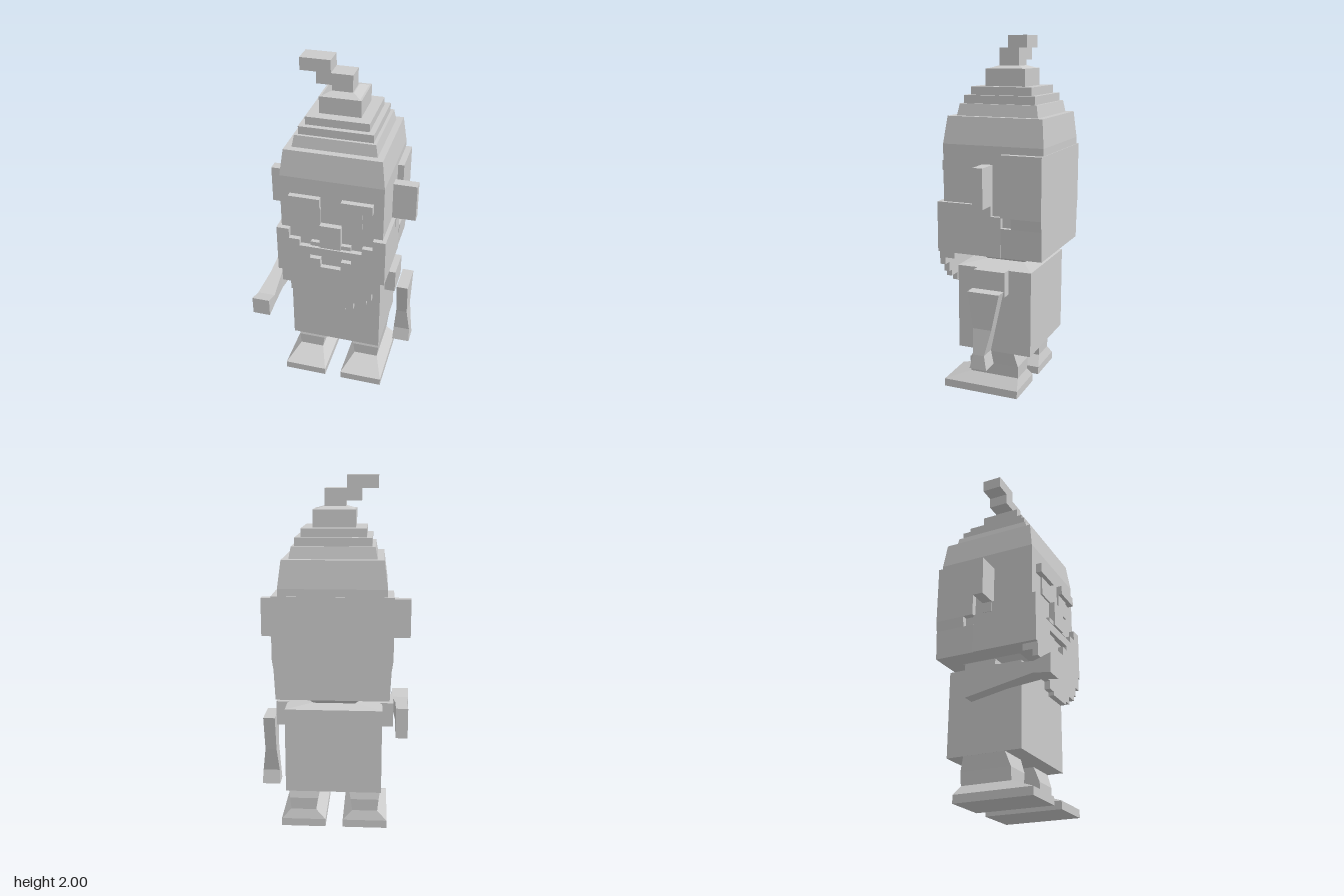
import * as THREE from 'three';

const material = new THREE.MeshStandardMaterial({ color: 0xcccccc, flatShading: true });

// Stack of rectangles, each [y, x0, x1, z0, z1], skinned and capped
function loft(sections) {
  const pos = [];
  const ring = ([y, x0, x1, z0, z1]) => [[x0, y, z1], [x1, y, z1], [x1, y, z0], [x0, y, z0]];
  const quad = (a, b, c, d) => pos.push(...a, ...b, ...c, ...a, ...c, ...d);
  const rings = sections.map(ring);
  for (let i = 0; i < rings.length - 1; i++) {
    const lo = rings[i], hi = rings[i + 1];
    for (let k = 0; k < 4; k++) {
      const n = (k + 1) % 4;
      quad(lo[k], lo[n], hi[n], hi[k]);
    }
  }
  const b = rings[0], t = rings[rings.length - 1];
  quad(b[3], b[2], b[1], b[0]);
  quad(t[0], t[1], t[2], t[3]);
  const g = new THREE.BufferGeometry();
  g.setAttribute('position', new THREE.Float32BufferAttribute(pos, 3));
  g.computeVertexNormals();
  return g;
}

const block = (x0, x1, y0, y1, z0, z1) => loft([[y0, x0, x1, z0, z1], [y1, x0, x1, z0, z1]]);

const toShape = (pts) => new THREE.Shape(pts.map(([x, y]) => new THREE.Vector2(x, y)));

// Mirror a half outline (running from the bottom centre to the top centre)
const mirrored = (half) => [...half, ...half.slice().reverse().map(([x, y]) => [-x, y])];

function slab(shape, z0, z1) {
  return new THREE.ExtrudeGeometry(shape, { depth: z1 - z0, bevelEnabled: false }).translate(0, 0, z0);
}

export function createModel() {
  const model = new THREE.Group();
  const add = (name, geometry) => {
    const mesh = new THREE.Mesh(geometry, material);
    mesh.name = name;
    model.add(mesh);
    return mesh;
  };

  // Torso with a slightly raised top, and the neck
  add('torso', loft([
    [0.25, -0.27, 0.27, -0.3, 0.135],
    [0.735, -0.27, 0.27, -0.3, 0.135],
    [0.748, -0.12, 0.12, -0.2, 0.02],
  ]));
  add('neck', loft([
    [0.74, -0.11, 0.11, -0.2, 0.015],
    [0.82, -0.19, 0.19, -0.275, 0.09],
  ]));

  // Head, narrowing toward the hat
  add('head', loft([
    [0.815, -0.29, 0.29, -0.37, 0.21],
    [1.42, -0.29, 0.29, -0.37, 0.21],
    [1.57, -0.27, 0.27, -0.355, 0.19],
  ]));

  // Stepped hat: [bottom, top, half width at bottom, half width at top]
  const tiers = [
    [1.565, 1.635, 0.235, 0.222],
    [1.635, 1.68, 0.205, 0.205],
    [1.68, 1.725, 0.175, 0.175],
    [1.725, 1.82, 0.115, 0.115],
    [1.82, 1.835, 0.105, 0.06],
  ];
  for (const [y0, y1, a, b] of tiers) {
    add('hatTier', loft([[y0, -a, a, -0.083 - a, -0.083 + a], [y1, -b, b, -0.083 - b, -0.083 + b]]));
  }

  // Bent hat tip
  add('hatTip', slab(toShape([
    [-0.06, 1.83], [0.055, 1.83], [0.055, 1.93], [-0.065, 1.93], [-0.065, 2],
    [-0.235, 2], [-0.235, 1.93], [-0.145, 1.93], [-0.145, 1.865], [-0.06, 1.865],
  ]), -0.14, -0.025));

  // Hair wrapped around the back of the head
  add('hair', loft([
    [0.815, -0.308, 0.308, -0.373, -0.14],
    [0.98, -0.316, 0.316, -0.373, -0.14],
  ]));
  add('hair', loft([
    [0.98, -0.316, 0.316, -0.373, -0.2],
    [1.04, -0.325, 0.325, -0.373, -0.2],
  ]));
  add('hair', block(-0.325, 0.325, 1.04, 1.38, -0.373, -0.14));

  // Beard front with stepped edges and a mouth opening
  const beard = toShape(mirrored([
    [0.085, 0.58], [0.085, 0.6], [0.135, 0.6], [0.135, 0.645], [0.21, 0.645], [0.21, 0.68],
    [0.24, 0.68], [0.24, 0.735], [0.29, 0.735], [0.29, 0.815], [0.312, 0.815], [0.312, 1.1],
    [0.24, 1.1], [0.24, 1.04], [0.18, 1.04], [0.18, 0.98],
  ]));
  beard.holes.push(new THREE.Path(mirrored([
    [0.06, 0.87], [0.06, 0.925], [0.12, 0.925], [0.12, 0.95],
  ]).map(([x, y]) => new THREE.Vector2(x, y))));
  add('beard', slab(beard, 0.208, 0.24));
  add('moustache', block(-0.18, 0.18, 0.975, 1.0, 0.2, 0.24));

  // Nose
  add('nose', block(-0.06, 0.06, 1.01, 1.155, 0.2, 0.245));
  add('nostrils', block(-0.115, 0.115, 1.01, 1.035, 0.2, 0.235));

  // Paired parts
  const cheekOutline = [
    [0.21, 0.815], [0.21, 1.1], [-0.08, 1.1], [-0.08, 1.04], [-0.14, 1.04], [-0.14, 0.815],
  ];
  for (const s of [1, -1]) {
    const side = s > 0 ? 'left' : 'right';
    const pair = (x0, x1) => (s > 0 ? [x0, x1] : [-x1, -x0]);
    const sideBlock = (name, x0, x1, ...rest) => add(side + name, block(...pair(x0, x1), ...rest));

    sideBlock('Brow', 0.06, 0.235, 1.265, 1.32, 0.2, 0.243);
    sideBlock('Eye', 0.06, 0.175, 1.155, 1.265, 0.2, 0.22);
    sideBlock('Ear', 0.28, 0.425, 1.1, 1.32, -0.083, -0.025);
    sideBlock('EarLobe', 0.28, 0.315, 1.04, 1.1, -0.083, -0.025);
    sideBlock('BeardCorner', 0.24, 0.29, 0.775, 0.82, 0.15, 0.215);
    sideBlock('Shoulder', 0.26, 0.333, 0.6, 0.74, -0.17, 0.012);

    // Beard along the cheek
    const cheek = slab(toShape(cheekOutline), -0.012, 0.012).rotateY(-Math.PI / 2);
    add(side + 'Cheek', cheek.translate(s * 0.3, 0, 0));

    // Leg and sloped shoe
    add(side + 'Leg', loft([
      [0.1, ...pair(0.105, 0.25), -0.22, 0.07],
      [0.17, ...pair(0.095, 0.257), -0.222, 0.07],
      [0.255, ...pair(0.08, 0.27), -0.2, 0.04],
    ]));
    add(side + 'Shoe', loft([
      [0, ...pair(0.05, 0.305), -0.235, 0.215],
      [0.045, ...pair(0.05, 0.305), -0.235, 0.215],
      [0.1, ...pair(0.105, 0.25), -0.22, 0.07],
    ]));
  }

  // Left arm hanging down with a flared hand
  add('leftArm', loft([
    [0.203, 0.33, 0.435, -0.105, -0.005],
    [0.285, 0.333, 0.43, -0.09, -0.025],
    [0.43, 0.345, 0.41, -0.125, -0.015],
    [0.637, 0.345, 0.412, -0.17, 0.015],
  ]));

  // Right arm stretched forward: lofted upright, then tipped so its length runs along z
  add('rightArm', loft([
    [-0.115, -0.42, -0.35, -0.69, -0.51],
    [0.1, -0.42, -0.35, -0.66, -0.55],
    [0.28, -0.435, -0.333, -0.637, -0.575],
    [0.372, -0.435, -0.333, -0.667, -0.56],
  ]).rotateX(Math.PI / 2));

  return model;
}
